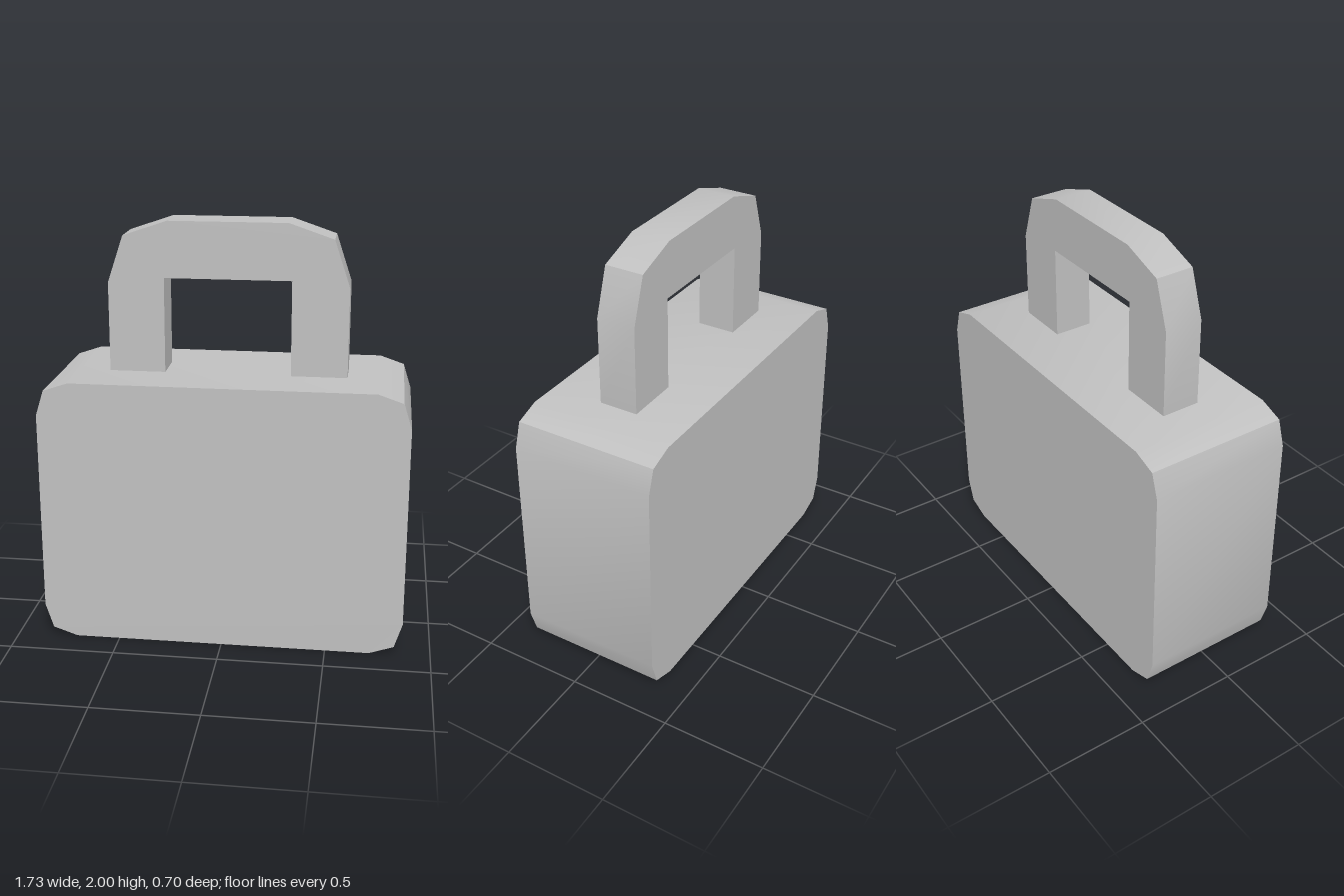
import * as THREE from 'three';
import { toCreasedNormals } from 'three/addons/utils/BufferGeometryUtils.js';

const BODY_TOP = 1.285;

// Extrude an outline through z, centred, with gentle corners smoothed and steep ones kept sharp
function makeSlab(name, points, depth, material) {
  const shape = new THREE.Shape(points.map(([x, y]) => new THREE.Vector2(x, y)));
  const geometry = new THREE.ExtrudeGeometry(shape, { depth, bevelEnabled: false });
  geometry.translate(0, 0, -depth / 2);
  const mesh = new THREE.Mesh(toCreasedNormals(geometry, 0.6), material);
  mesh.name = name;
  return mesh;
}

// Complete a right-hand half outline with its mirror image
function mirrorX(half) {
  return [...half, ...half.map(([x, y]) => [-x, y]).reverse()];
}

export function createModel() {
  const group = new THREE.Group();
  group.name = 'case';
  const grey = new THREE.MeshStandardMaterial({ color: 0xc0c0c0 });
  grey.name = 'grey';

  // Body: block with faceted round corners, top and bottom alike
  const lower = [[0.71, 0], [0.827, 0.04], [0.865, 0.16]];
  const upper = lower.map(([x, y]) => [x, BODY_TOP - y]).reverse();
  group.add(makeSlab('body', mirrorX([...lower, ...upper]), 0.696, grey));

  // Handle: arch with faceted shoulders and a square opening
  const arch = mirrorX([
    [0.298, 1.735], [0.298, BODY_TOP], [0.563, BODY_TOP],
    [0.563, 1.708], [0.489, 1.929], [0.28, 2],
  ]);
  group.add(makeSlab('handle', arch, 0.188, grey));

  return group;
}
